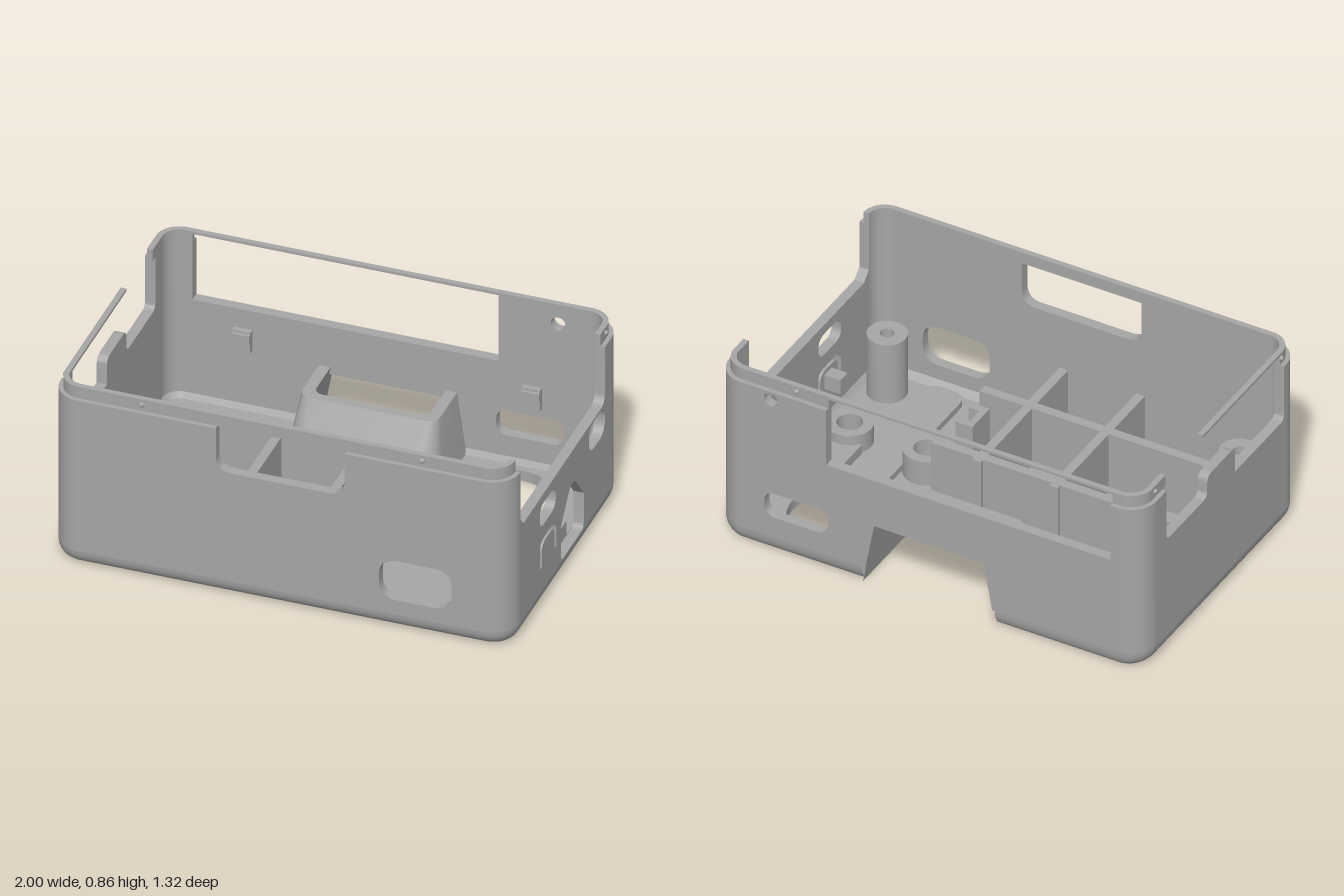
import * as THREE from 'three';
import { toCreasedNormals } from 'three/addons/utils/BufferGeometryUtils.js';

const PI = Math.PI, H = 0.075, TOP = 0.805, LIP = 0.86, T = 0.045;

export function createModel() {
  const group = new THREE.Group();
  const grey = new THREE.MeshStandardMaterial({ color: 0xa6a6a6 });
  grey.name = 'matte grey';

  const add = (name, geo) => {
    const mesh = new THREE.Mesh(toCreasedNormals(geo, 0.6), grey);
    mesh.name = name;
    group.add(mesh);
    return mesh;
  };
  // box given by its limits
  const box = (name, x0, x1, y0, y1, z0, z1) =>
    add(name, new THREE.BoxGeometry(x1 - x0, y1 - y0, z1 - z0)
      .translate((x0 + x1) / 2, (y0 + y1) / 2, (z0 + z1) / 2));
  const extrude = (shape, depth) =>
    new THREE.ExtrudeGeometry(shape, { depth, bevelEnabled: false, curveSegments: 16 });
  // plan shape (x, -z) raised from y0 to y1
  const slab = (name, shape, y0, y1) =>
    add(name, extrude(shape, y1 - y0).rotateX(-PI / 2).translate(0, y0, 0));
  // closed outline from [x, y, cornerRadius] points
  const outline = (pts, P = THREE.Shape) => {
    const s = new P(), n = pts.length;
    pts.forEach(([x, y, r = 0], i) => {
      const c = new THREE.Vector2(x, y);
      const to = (q) => new THREE.Vector2(q[0], q[1]).sub(c).setLength(r).add(c);
      const a = to(pts[(i + n - 1) % n]), b = to(pts[(i + 1) % n]);
      if (i) s.lineTo(a.x, a.y); else s.moveTo(a.x, a.y);
      if (r) s.quadraticCurveTo(x, y, b.x, b.y);
    });
    s.closePath();
    return s;
  };
  const roundRect = (x0, x1, y0, y1, r, P) =>
    outline([[x0, y0, r], [x1, y0, r], [x1, y1, r], [x0, y1, r]], P);
  const circle = (x, y, r, P = THREE.Path) => new P().absarc(x, y, r, 0, 2 * PI);

  // surface through a list of cross-sections of [x, y, z] points
  const loft = (name, rings) => {
    const n = rings[0].length, index = [];
    for (let j = 0; j < rings.length - 1; j++)
      for (let i = 0; i < n - 1; i++) {
        const a = j * n + i, d = a + n;
        index.push(a, a + 1, d + 1, a, d + 1, d);
      }
    const g = new THREE.BufferGeometry();
    g.setAttribute('position', new THREE.Float32BufferAttribute(rings.flat(2), 3));
    g.setIndex(index);
    return add(name, g);
  };

  // body plan outline, open at the rear notch
  const plan = (y, ix, front, back) => {
    const pts = [[-0.31, y, -0.66 + back]];
    [[-1, -1, -PI / 2], [-1, 1, PI], [1, 1, PI / 2], [1, -1, 0]].forEach(([sx, sz, a0]) => {
      for (let k = 0; k <= 8; k++) {
        const a = a0 - k * PI / 16;
        pts.push([sx * 0.88 + (0.12 - ix) * Math.cos(a), y,
          sz * 0.54 + (0.12 - (sz > 0 ? front : back)) * Math.sin(a)]);
      }
    });
    pts.push([0.31, y, -0.66 + back]);
    return pts;
  };

  // rounded lower edge
  const base = [];
  for (let k = 0; k <= 6; k++) {
    const a = k * PI / 12, f = 1 - Math.sin(a);
    base.push(plan(H * (1 - Math.cos(a)), 0.06 * f, 0.07 * f, 0.04 * f));
  }
  base.push(plan(H, T, T, T), plan(0.05, 0.065, 0.075, 0.06));
  loft('lowerEdge', base);

  // tapered rear recess, open below, behind and above
  const recess = (y, w, f, r) => {
    const pts = [[-w, y, -0.655]];
    for (let k = 0; k <= 6; k++) {
      const a = PI - k * PI / 12;
      pts.push([-w + r + r * Math.cos(a), y, f - r + r * Math.sin(a)]);
    }
    return pts.concat(pts.slice().reverse().map(([x, yy, z]) => [-x, yy, z]));
  };
  const mouth = recess(0, 0.31, -0.25, 0.08);
  loft('rearRecess', [recess(0.02, 0.345, -0.2, 0.12), recess(0.335, 0.3, -0.37, 0.05),
    recess(0.335, 0.25, -0.41, 0.04), mouth]);

  // floor: a thin bottom plate with a groove, and a plate above it
  const floorShape = () => {
    const pts = plan(0, 0.06, 0.07, 0.04).concat(mouth.slice(1, -1).reverse());
    const s = new THREE.Shape(pts.map(([x, , z]) => new THREE.Vector2(x, -z)));
    s.holes.push(circle(0.6, 0.37, 0.2), circle(-0.82, -0.47, 0.03), circle(0.83, -0.47, 0.03));
    return s;
  };
  const upper = floorShape(), lower = floorShape();
  upper.holes.push(circle(0.3, -0.2, 0.03));
  lower.holes.push(roundRect(-0.79, 0.8, -0.325, -0.01, 0.05, THREE.Path));
  const island = roundRect(-0.775, 0.785, -0.31, -0.025, 0.04);
  island.holes.push(circle(0.3, -0.2, 0.03));
  slab('floor', upper, 0.012, 0.05);
  slab('bottomPlate', lower, 0, 0.012);
  slab('bottomPanel', island, 0, 0.012);

  // front wall with finger notch and port
  const front = outline([[-0.88, H], [0.88, H], [0.88, TOP], [0.28, TOP], [0.28, 0.6, 0.07],
    [-0.28, 0.6, 0.07], [-0.28, TOP], [-0.88, TOP]]);
  front.holes.push(roundRect(0.43, 0.745, 0.145, 0.335, 0.08, THREE.Path));
  add('frontWall', extrude(front, T).translate(0, 0, 0.66 - T));

  // back wall with wide window, recess notch, port and round hole
  const back = outline([[-0.88, H], [-0.297, H], [-0.256, 0.3], [0.256, 0.3], [0.297, H],
    [0.88, H], [0.88, TOP], [0.48, TOP], [0.48, 0.53], [-0.85, 0.53], [-0.85, TOP], [-0.88, TOP]]);
  back.holes.push(roundRect(0.47, 0.77, 0.175, 0.295, 0.055, THREE.Path), circle(0.74, 0.765, 0.032));
  add('backWall', extrude(back, T).translate(0, 0, -0.66));

  // side walls are drawn in (z, y)
  const side = (name, shape, x) => add(name, extrude(shape, T).rotateY(-PI / 2).translate(x, 0, 0));
  const slot = () => roundRect(0.12, 0.31, 0.385, 0.49, 0.05, THREE.Path);
  const right = outline([[-0.54, H], [0.54, H], [0.54, 0.575], [0.5, 0.535], [-0.46, 0.535, 0.05],
    [-0.46, TOP], [-0.54, TOP]]);
  right.holes.push(slot(),
    roundRect(-0.46, -0.27, 0.395, 0.525, 0.065, THREE.Path),
    outline([[-0.21, 0.08, 0.03], [0.06, 0.08, 0.03], [0.06, 0.25], [-0.05, 0.378, 0.02],
      [-0.105, 0.378, 0.02], [-0.21, 0.25]], THREE.Path),
    outline([[0.115, 0.19], [0.115, 0.32, 0.05], [0.31, 0.32, 0.05], [0.31, 0.19], [0.285, 0.19],
      [0.285, 0.3, 0.045], [0.137, 0.3, 0.045], [0.137, 0.19]], THREE.Path));
  side('rightWall', right, 1);
  const left = outline([[-0.54, H], [0.54, H], [0.54, TOP], [0.52, TOP], [0.52, 0.535, 0.03],
    [0.11, 0.535], [0.11, 0.66, 0.04], [-0.12, 0.66, 0.04], [-0.12, 0.555, 0.03],
    [-0.46, 0.555, 0.03], [-0.46, TOP], [-0.54, TOP]]);
  left.holes.push(slot());
  side('leftWall', left, 1 - 2 + T);
  add('leftSlotCover', new THREE.PlaneGeometry(0.2, 0.115).rotateY(-PI / 2)
    .translate(-1.001, 0.4375, 0.215));

  // rounded corners of the walls and of the stepped lip
  [[1, -1], [-1, -1], [-1, 1], [1, 1]].forEach(([sx, sz], i) => {
    const corner = (name, ro, ri, y0, y1) => {
      const s = new THREE.Shape(), a = i * PI / 2;
      s.absarc(sx * 0.88, -sz * 0.54, ro, a, a + PI / 2, false);
      s.absarc(sx * 0.88, -sz * 0.54, ri, a + PI / 2, a, true);
      slab(name, s, y0, y1);
    };
    corner('wallCorner', 0.12, 0.12 - T, H, TOP);
    corner('lipCorner', 0.1, 0.12 - T, TOP, LIP);
  });

  // lip runs and thin top strips
  box('frontLip', -0.88, 0.88, TOP, LIP, 0.615, 0.64);
  box('backLip', 0.48, 0.88, TOP, LIP, -0.64, -0.615);
  box('backLip', -0.88, -0.85, TOP, LIP, -0.64, -0.615);
  box('backStrip', -0.85, 0.48, 0.848, LIP, -0.64, -0.615);
  box('rightLip', 0.955, 0.98, TOP, LIP, -0.54, -0.46);
  box('leftLip', -0.98, -0.955, TOP, LIP, -0.54, -0.43);
  box('leftLip', -0.98, -0.955, TOP, LIP, 0.52, 0.54);
  box('leftStrip', -0.98, -0.955, 0.848, LIP, -0.12, 0.52);
  for (const [x, z] of [[-0.61, 0.64], [0.61, 0.64], [0.63, -0.64], [0.98, -0.52], [-0.98, -0.52], [-0.98, 0.53]])
    add('lipNub', new THREE.SphereGeometry(0.012, 12, 8).translate(x, 0.835, z));

  // compartment ribs
  for (const z of [-0.07, 0.335]) box('longRib', -0.957, 0.31, 0.05, 0.34, z - 0.021, z + 0.021);
  for (const x of [-0.275, 0.085]) box('crossRib', x - 0.02, x + 0.02, 0.05, 0.339, -0.11, 0.617);

  // hollow posts and low bosses
  for (const [name, x, z, r, hole, y] of [['screwPost', -0.82, 0.47, 0.085, 0.03, 0.345],
    ['screwPost', 0.83, 0.47, 0.085, 0.03, 0.345],
    ['boss', 0.42, 0.07, 0.1, 0.055, 0.17], ['boss', 0.78, 0.07, 0.1, 0.055, 0.17]]) {
    const s = circle(x, -z, r, THREE.Shape);
    s.holes.push(circle(x, -z, hole));
    slab(name, s, 0.05, y);
  }

  // raised pads on the floor
  slab('floorPad', roundRect(0.51, 0.69, -0.57, 0.17, 0.07), 0.05, 0.08);
  box('sidePad', 0.69, 0.94, 0.05, 0.125, -0.17, 0.01);

  // small C-shaped clip, button pin and rear catches
  box('clipBack', 0.24, 0.27, 0.05, 0.3, 0.13, 0.275);
  box('clipArm', 0.27, 0.32, 0.05, 0.3, 0.13, 0.165);
  box('clipArm', 0.27, 0.32, 0.05, 0.3, 0.24, 0.275);
  box('buttonPin', 0.88, 0.957, 0.21, 0.28, 0.17, 0.23);
  for (const x of [-0.63, 0.63]) {
    box('catch', x - 0.04, x + 0.04, 0.34, 0.44, -0.617, -0.59);
    box('catchHook', x - 0.04, x + 0.04, 0.39, 0.43, -0.59, -0.575);
  }
  return group;
}
